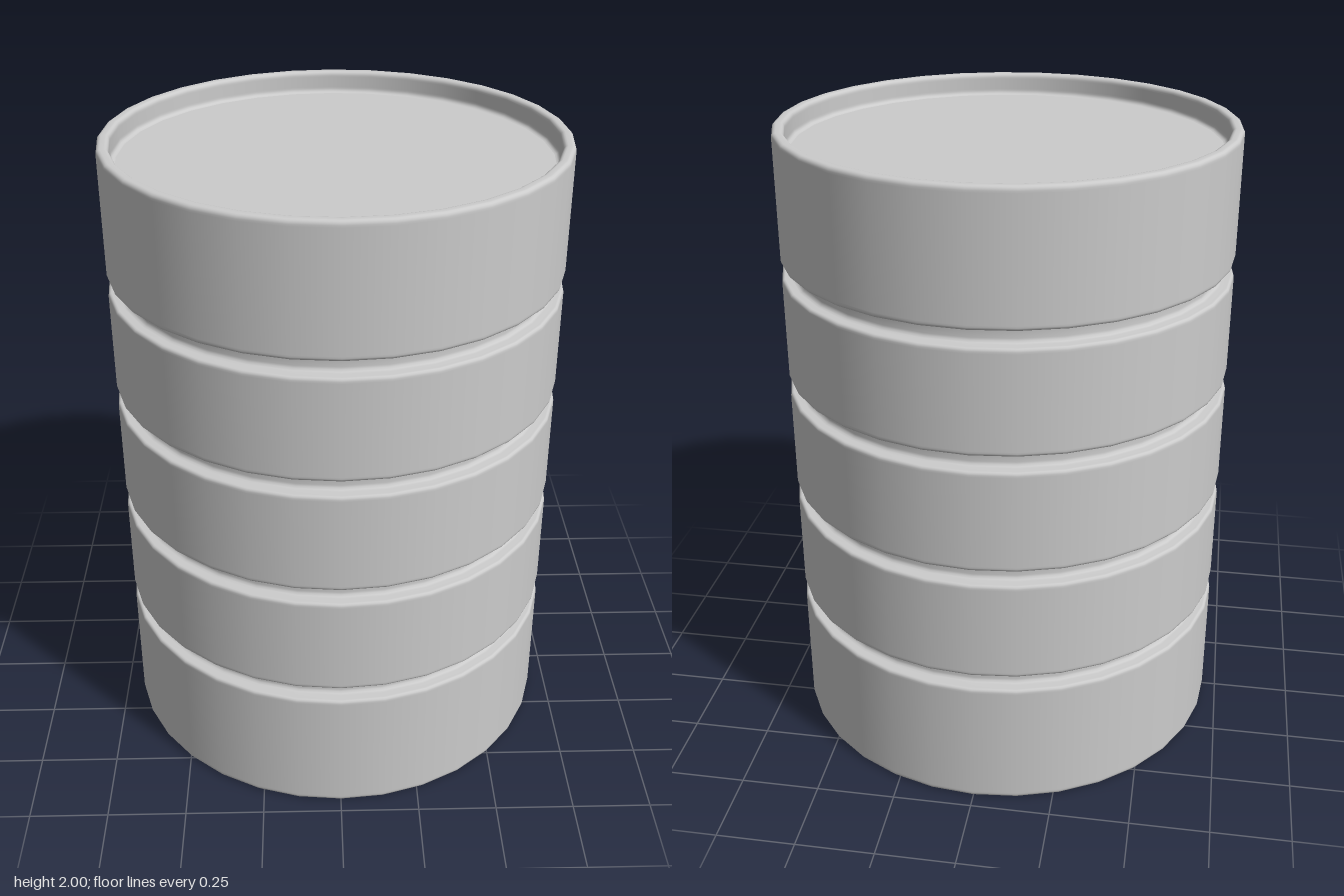
import * as THREE from 'three';

const SIDES = 32;
const R = 0.705;

// quarter-round corner between angles a0 and a1 around (cx, cy)
function arc(cx, cy, r, a0, a1, steps = 4) {
  return Array.from({ length: steps + 1 }, (_, i) => {
    const a = THREE.MathUtils.degToRad(a0 + ((a1 - a0) * i) / steps);
    return new THREE.Vector2(cx + r * Math.cos(a), cy + r * Math.sin(a));
  });
}

// rounded groove cut into the wall, centred on height y
function groove(y) {
  const lip = 0.01, half = 0.025, floor = 0.662, fillet = 0.014;
  return [
    new THREE.Vector2(R, y - half - lip - 0.006),
    ...arc(R - lip, y - half - lip, lip, 0, 90, 3),
    ...arc(floor + fillet, y - half + fillet, fillet, 270, 180, 3),
    ...arc(floor + fillet, y + half - fillet, fillet, 180, 90, 3),
    ...arc(R - lip, y + half + lip, lip, 270, 360, 3),
    new THREE.Vector2(R, y + half + lip + 0.006),
  ];
}

export function createModel() {
  const group = new THREE.Group();
  group.name = 'barrel';
  const material = new THREE.MeshStandardMaterial({ color: 0xcccccc });
  const add = (name, points) => {
    const mesh = new THREE.Mesh(new THREE.LatheGeometry(points, SIDES), material);
    mesh.name = name;
    group.add(mesh);
  };
  const v = (x, y) => new THREE.Vector2(x, y);

  const bevel = 0.013;
  const lidY = 1.93;
  const lidR = 0.655;
  const inner = 0.668;

  // flat underside
  add('base', [v(0, 0), v(R - bevel, 0)]);

  // wall with four grooves, rounded rim and inner lip
  add('wall', [
    ...arc(R - bevel, bevel, bevel, -90, 0),
    v(R, bevel + 0.006),
    ...[0.445, 0.821, 1.199, 1.577].flatMap(groove),
    v(R, 2 - bevel - 0.006),
    ...arc(R - bevel, 2 - bevel, bevel, 0, 90),
    ...arc(inner + bevel, 2 - bevel, bevel, 90, 180),
    v(inner, 2 - bevel - 0.005),
    v(inner, lidY + 0.018),
    ...arc(lidR, lidY + 0.013, 0.013, 0, -90),
  ]);

  // recessed flat lid
  add('lid', [v(lidR, lidY), v(0, lidY)]);

  return group;
}
